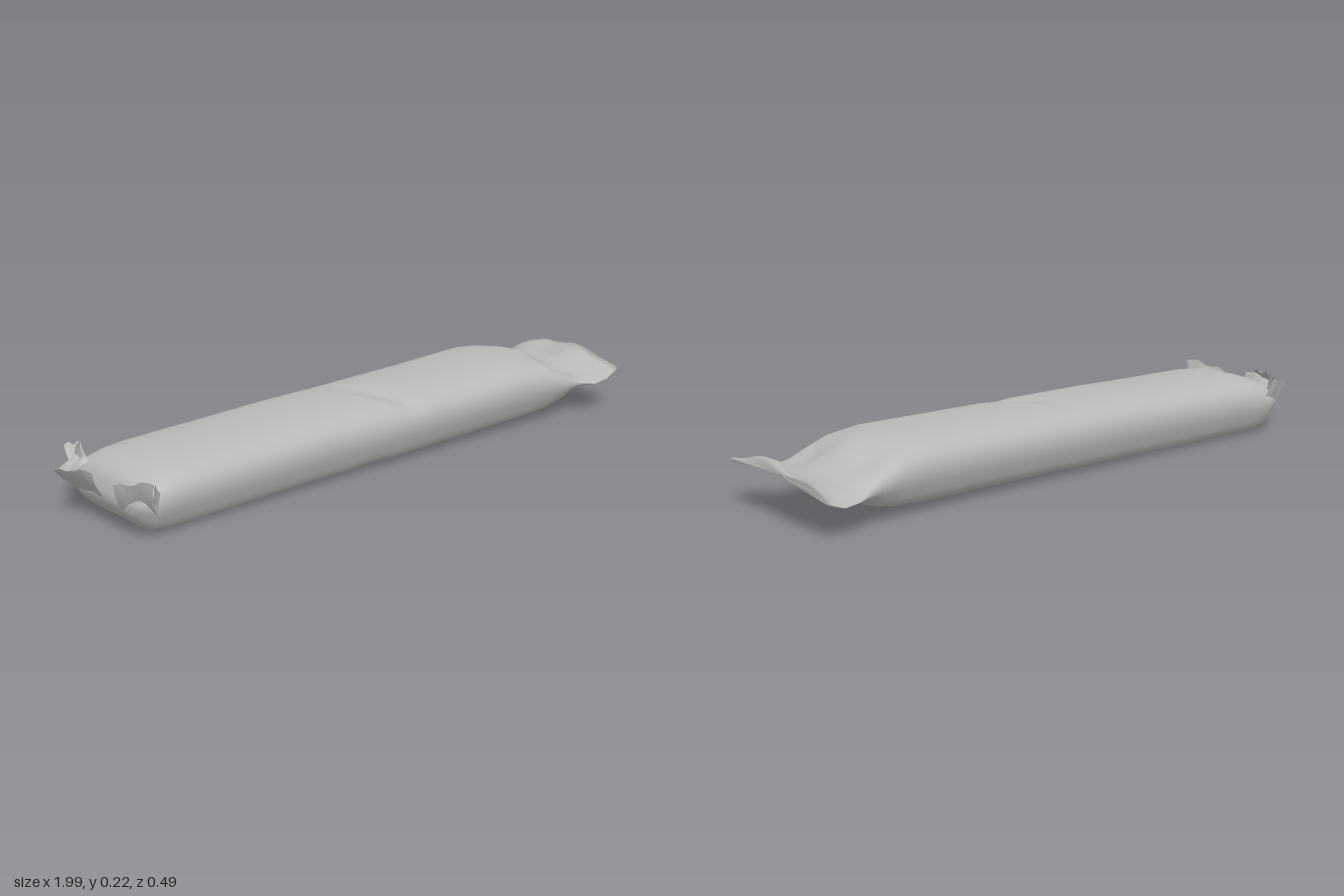
import * as THREE from 'three';

const SIDES = 56;

// Closed outline of a pillow section as (z, y): z in -1..1, y in 0..1
const outline = new THREE.CatmullRomCurve3([
  [1, 0.5], [0.97, 0.7], [0.82, 0.87], [0.48, 0.97], [0, 1], [-0.48, 0.97], [-0.82, 0.87], [-0.97, 0.7],
  [-1, 0.5], [-0.94, 0.28], [-0.83, 0.07], [-0.66, 0], [0, 0], [0.66, 0], [0.83, 0.07], [0.94, 0.28],
].map(([z, y]) => new THREE.Vector3(0, y, z)), true).getSpacedPoints(SIDES).slice(0, SIDES);

const bump = (x, z, cx, cz, rx, rz) => Math.exp(-(((x - cx) / rx) ** 2) - ((z - cz) / rz) ** 2);

// Stations: x, bottom, top, back z, front z, bow of the section
const stations = [
  [-0.925, 0.075, 0.11, -0.16, 0.14, 0],
  [-0.905, 0.045, 0.155, -0.195, 0.175, 0],
  [-0.87, 0.016, 0.178, -0.205, 0.187, 0],
  [-0.82, 0.008, 0.192, -0.207, 0.188, 0],
  [-0.75, 0.007, 0.2, -0.205, 0.186, 0],
  [-0.5, 0.008, 0.206, -0.202, 0.182, 0],
  [-0.25, 0.012, 0.213, -0.2, 0.18, 0],
  [0, 0.014, 0.214, -0.199, 0.186, 0],
  [0.3, 0.02, 0.217, -0.202, 0.19, 0],
  [0.6, 0.025, 0.221, -0.212, 0.194, 0],
  [0.7, 0.03, 0.208, -0.217, 0.196, 0],
  [0.78, 0.055, 0.18, -0.223, 0.198, 0.01],
  [0.82, 0.08, 0.16, -0.228, 0.195, 0.02],
  [0.85, 0.105, 0.143, -0.237, 0.205, 0.025],
  [0.87, 0.12, 0.142, -0.243, 0.236, 0.03],
  [0.92, 0.138, 0.156, -0.248, 0.243, 0.042],
  [0.98, 0.164, 0.182, -0.248, 0.24, 0.045],
];

// Joins rings of equal length into one smooth skin
function skin(rings, closed, capped) {
  const n = rings[0].length, pos = rings.flat(2), index = [];
  for (let i = 0; i < rings.length - 1; i++) {
    for (let j = 0; j < (closed ? n : n - 1); j++) {
      const k = (j + 1) % n, a = i * n, b = a + n;
      index.push(a + j, b + j, a + k, b + j, b + k, a + k);
    }
  }
  if (capped) {
    [0, rings.length - 1].forEach((r) => {
      const c = pos.length / 3, o = r * n;
      for (let d = 0; d < 3; d++) pos.push(rings[r].reduce((s, p) => s + p[d], 0) / n);
      for (let j = 0; j < n; j++) {
        const k = (j + 1) % n;
        if (r) index.push(c, o + k, o + j); else index.push(c, o + j, o + k);
      }
    });
  }
  const g = new THREE.BufferGeometry();
  g.setAttribute('position', new THREE.Float32BufferAttribute(pos, 3));
  g.setIndex(index);
  g.computeVertexNormals();
  return g;
}

function ring([x, bottom, top, back, front, bow]) {
  return outline.map((p) => {
    const z = (back + front) / 2 + p.z * (front - back) / 2;
    let y = bottom + p.y * (top - bottom) - bow * (z / 0.25) ** 2;
    const fin = THREE.MathUtils.smoothstep(x, 0.8, 0.95);
    // ripple and skewed edge of the crimped end
    y += fin * (0.012 * z / 0.25 + 0.006 * Math.sin(z * 28));
    // creases in the upper and lower film
    const dents = p.y > 0.5
      ? -0.014 * bump(x, z, 0.02 + z * 0.5, 0.08, 0.035, 0.12) - 0.02 * bump(x, z, 0.8, 0.1, 0.05, 0.06)
        - 0.014 * bump(x, z, 0.76, -0.13, 0.05, 0.05) + 0.008 * bump(x, z, 0.72, 0, 0.08, 0.06)
      : 0.018 * bump(x, z, 0.02 - z * 0.4, 0, 0.05, 0.12) + 0.015 * bump(x, z, 0.74, 0.07, 0.06, 0.05)
        + 0.01 * bump(x, z, 0.68, -0.1, 0.06, 0.06);
    y += dents * Math.min(1, Math.abs(p.y - 0.5) * 3);
    return [x + fin * 0.02 * bump(0, z, 0, -0.12, 1, 0.1), y, z];
  });
}

// Torn scrap of film between a base edge and a tip edge, bulging along x
function flap(base, tip, bulge) {
  const rows = [];
  for (let i = 0; i <= 5; i++) {
    const row = [], t = i / 5;
    for (let j = 0; j <= 6; j++) {
      const s = j / 6;
      const p = [0, 1, 2].map((d) => THREE.MathUtils.lerp(
        THREE.MathUtils.lerp(base[0][d], base[1][d], s), THREE.MathUtils.lerp(tip[0][d], tip[1][d], s), t));
      p[0] -= bulge * Math.sin(t * Math.PI) * (0.6 + 0.4 * Math.sin(s * 9));
      p[1] += 0.006 * t * Math.sin(s * 11);
      row.push(p);
    }
    rows.push(row);
  }
  return skin(rows, false, false);
}

export function createModel() {
  const film = new THREE.MeshStandardMaterial({ color: 0xb8b8b8, side: THREE.DoubleSide });
  film.name = 'grey film';
  const model = new THREE.Group();
  model.name = 'wrappedBar';
  const add = (name, geometry) => {
    const mesh = new THREE.Mesh(geometry, film);
    mesh.name = name;
    model.add(mesh);
  };

  // Filled wrapper running into the flat crimped end
  const rings = [];
  stations.forEach((s, i) => {
    const next = stations[i + 1];
    if (!next) return rings.push(ring(s));
    const steps = Math.max(2, Math.ceil((next[0] - s[0]) / 0.025));
    for (let k = 0; k < steps; k++) rings.push(ring(s.map((v, d) => v + (next[d] - v) * k / steps)));
  });
  add('wrapperBody', skin(rings, true, true));

  // Crumpled scraps of the other end, folded upward
  add('backCornerFlap', flap([[-0.85, 0.12, -0.2], [-0.91, 0.07, -0.12]], [[-0.87, 0.196, -0.21], [-0.925, 0.2, -0.15]], 0.015));
  add('backCornerFold', flap([[-0.85, 0.13, -0.2], [-0.9, 0.1, -0.19]], [[-0.865, 0.185, -0.215], [-0.91, 0.185, -0.235]], 0.005));
  add('middleFlap', flap([[-0.9, 0.06, -0.16], [-0.91, 0.07, -0.01]], [[-0.995, 0.145, -0.155], [-0.96, 0.175, -0.01]], 0.012));
  add('middleFold', flap([[-0.99, 0.14, -0.155], [-0.965, 0.16, -0.08]], [[-0.94, 0.185, -0.13], [-0.93, 0.19, -0.07]], 0.008));
  add('frontFlap', flap([[-0.915, 0.06, 0.08], [-0.875, 0.08, 0.185]], [[-0.955, 0.16, 0.09], [-0.905, 0.192, 0.218]], 0.012));
  add('frontFold', flap([[-0.87, 0.09, 0.185], [-0.86, 0.14, 0.18]], [[-0.91, 0.12, 0.21], [-0.9, 0.192, 0.218]], 0.005));
  return model;
}
